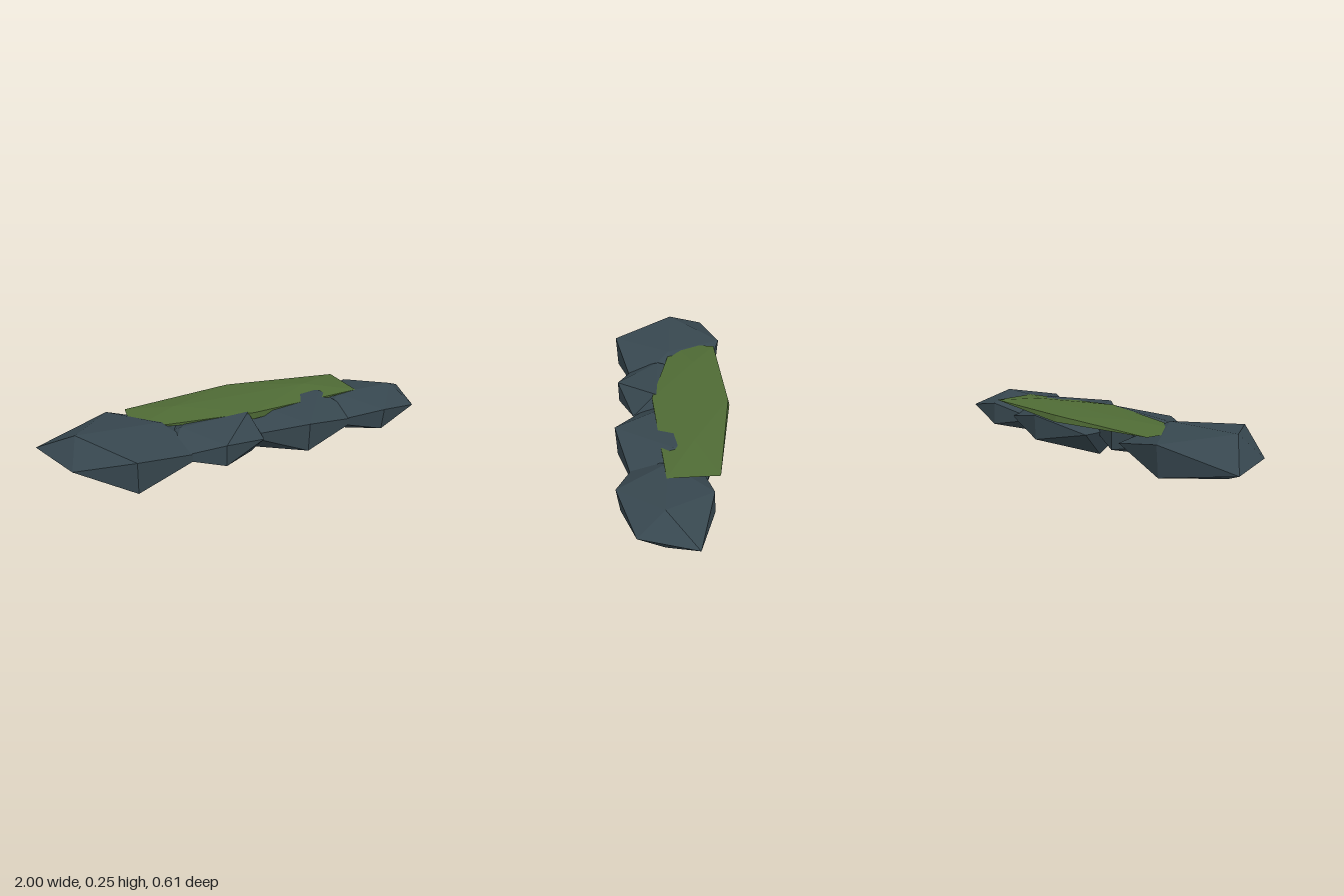
import * as THREE from 'three';

// Corner directions of an icosahedron, in the order the corner factors are listed:
// top left/right, bottom left/right, front low/high, back low/high,
// right back/front, left back/front
const T = (1 + Math.sqrt(5)) / 2;
const CORNERS = [
  [-1, T, 0], [1, T, 0], [-1, -T, 0], [1, -T, 0],
  [0, -1, T], [0, 1, T], [0, -1, -T], [0, 1, -T],
  [T, 0, -1], [T, 0, 1], [-T, 0, -1], [-T, 0, 1],
].map((c) => new THREE.Vector3(...c).normalize());

// Flattened icosahedron whose corners are pushed in or out along their radius
function boulder(name, material, center, radii, factors) {
  const geometry = new THREE.IcosahedronGeometry(1, 0);
  const pos = geometry.attributes.position;
  const v = new THREE.Vector3();
  for (let i = 0; i < pos.count; i++) {
    v.fromBufferAttribute(pos, i);
    const corner = CORNERS.findIndex((c) => c.dot(v) > 0.99);
    v.multiplyScalar(factors[corner]);
    pos.setXYZ(i, v.x * radii[0], v.y * radii[1], v.z * radii[2]);
  }
  geometry.computeVertexNormals();
  const mesh = new THREE.Mesh(geometry, material);
  mesh.name = name;
  mesh.position.set(...center);
  return mesh;
}

export function createModel() {
  const stone = new THREE.MeshStandardMaterial({ color: 0x37474f, flatShading: true });
  stone.name = 'slate stone';
  const moss = new THREE.MeshStandardMaterial({ color: 0x4f6b35, flatShading: true });
  moss.name = 'moss green';

  const group = new THREE.Group();
  group.name = 'mossyRockLedge';

  // Row of four overlapping rocks: centre, size, corner factors
  const rocks = [
    ['farRightRock', [-0.63, 0.13, 0.006], 0.4,
      [1.0, 0.92, 0.77, 0.8, 1.1, 1.137, 1.0, 1.046, 1.05, 1.11, 1.09, 0.76]],
    ['innerRightRock', [-0.19, 0.132, 0.06], 0.3,
      [1.0, 1.2, 1.0, 1.32, 1.0, 1.02, 1.0, 1.0, 0.92, 0.9, 1.0, 1.0]],
    ['innerLeftRock', [0.25, 0.13, -0.035], 0.37,
      [0.92, 0.99, 1.2, 0.97, 1.1, 1.14, 0.93, 0.95, 1.0, 1.1, 0.95, 0.91]],
    ['farLeftRock', [0.69, 0.128, -0.012], 0.33,
      [0.9, 0.94, 1.08, 1.03, 0.92, 1.0, 0.97, 0.95, 1.086, 0.855, 1.0, 1.01]],
  ];
  for (const [name, center, size, factors] of rocks) {
    group.add(boulder(name, stone, center, [size, size * 0.345, size * 0.775], factors));
  }

  // Thin moss sheet lying over the back of the rocks
  group.add(boulder('mossCap', moss, [0.03, 0.217, -0.13], [0.7, 0.032, 0.22],
    [0.95, 1.0, 1.0, 1.0, 1.08, 1.1, 0.94, 0.9, 0.99, 1.03, 0.96, 1.0]));

  return group;
}
